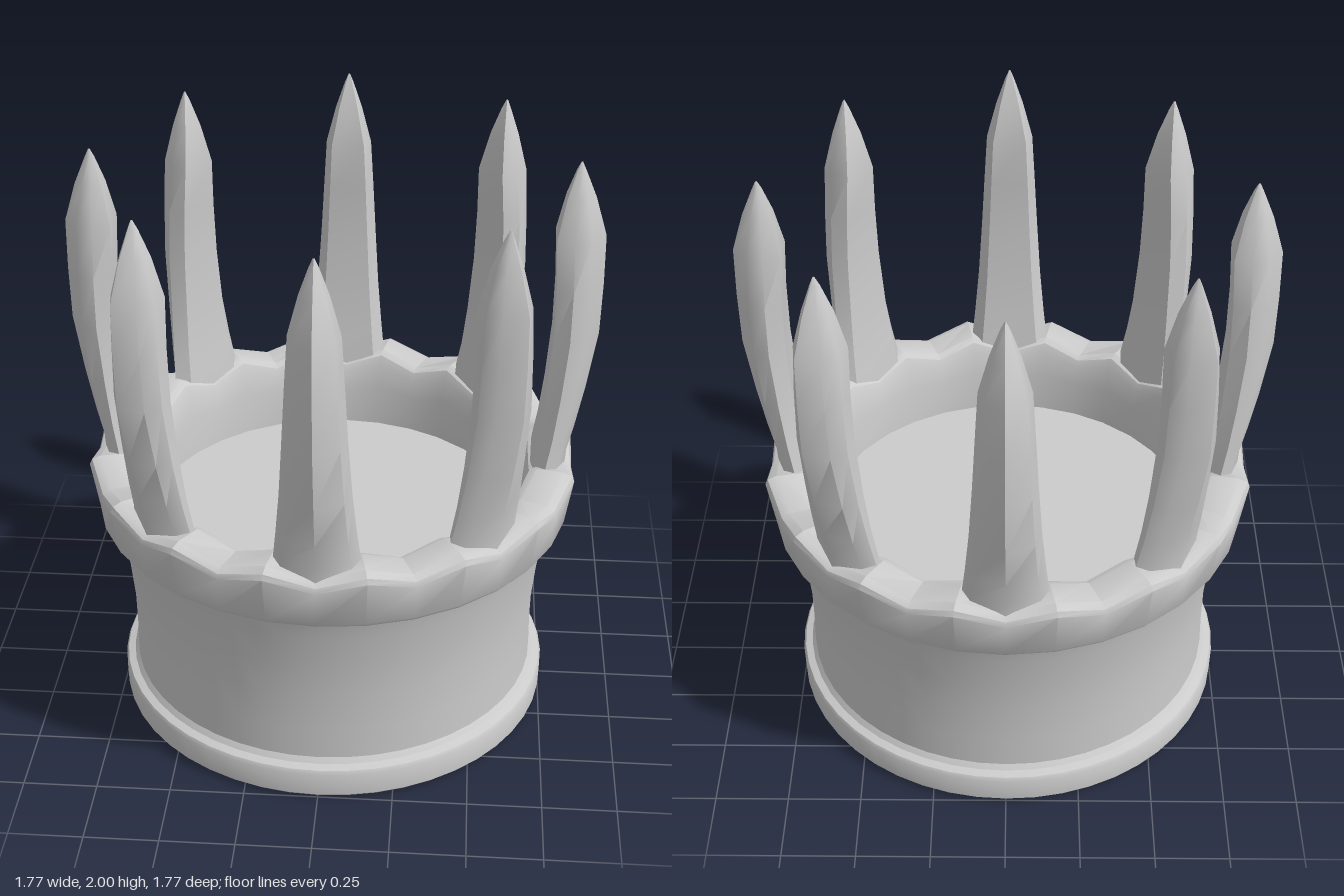
import * as THREE from 'three';
import { toCreasedNormals } from 'three/addons/utils/BufferGeometryUtils.js';

const material = new THREE.MeshStandardMaterial({ color: 0xcccccc });

// Skin a stack of closed rings; each ring is a list of [x, y, z], counter-clockwise seen from above
function skin(name, rings, crease) {
  const n = rings[0].length;
  const index = [];
  for (let i = 0; i < rings.length - 1; i++) {
    for (let j = 0; j < n; j++) {
      const a = i * n + j, b = i * n + (j + 1) % n;
      index.push(a, b, b + n, a, b + n, a + n);
    }
  }
  const geometry = new THREE.BufferGeometry();
  geometry.setAttribute('position', new THREE.Float32BufferAttribute(rings.flat(2), 3));
  geometry.setIndex(index);
  const mesh = new THREE.Mesh(toCreasedNormals(geometry, crease), material);
  mesh.name = name;
  return mesh;
}

// Round body with a stepped foot and a waist flaring to the rim, closed below
function makeBody() {
  const profile = [
    [0, 0], [0.74, 0], [0.755, 0.015], [0.757, 0.1], [0.75, 0.113], [0.725, 0.122],
    [0.712, 0.14], [0.71, 0.25], [0.712, 0.4], [0.724, 0.53], [0.743, 0.65], [0.757, 0.72], [0.765, 0.745],
  ].map(([r, y]) => new THREE.Vector2(r, y));
  const geometry = toCreasedNormals(new THREE.LatheGeometry(profile, 48), 0.6);
  const mesh = new THREE.Mesh(geometry, material);
  mesh.name = 'body';
  return mesh;
}

// Rim whose top edge zigzags: low at the spikes and midway, high in between
function makeRim() {
  // [radius, low height, high height, extra radius at the peaks]
  const section = [
    [0.65, 0.74, 0.74, 0], [0.802, 0.74, 0.74, 0], [0.813, 0.755, 0.755, 0],
    [0.822, 0.875, 0.92, 0.017], [0.815, 0.892, 0.938, 0.015], [0.79, 0.905, 0.95, 0.01],
    [0.695, 0.905, 0.95, 0.015], [0.672, 0.893, 0.938, 0.012], [0.66, 0.865, 0.91, 0.01],
    [0.645, 0.8, 0.82, 0.008], [0.64, 0.66, 0.66, 0],
  ];
  const steps = 32;
  const rings = section.map(([r, low, high, extra]) => Array.from({ length: steps }, (_, j) => {
    const a = j / steps * Math.PI * 2, peak = j % 2;
    const radius = r + extra * peak;
    return [radius * Math.sin(a), peak ? high : low, radius * Math.cos(a)];
  }));
  return skin('rim', rings, 0.6);
}

// Tapered spike that leans outward, then curves back in to its point
function makeSpike() {
  // [height, half width, inner radius, outer radius]
  const levels = [
    [0.86, 0.148, 0.675, 0.795], [0.95, 0.138, 0.685, 0.8], [1.05, 0.127, 0.7, 0.822],
    [1.2, 0.113, 0.715, 0.85], [1.4, 0.1, 0.728, 0.88], [1.58, 0.09, 0.728, 0.883],
    [1.75, 0.08, 0.72, 0.88], [1.88, 0.046, 0.745, 0.84], [1.97, 0.015, 0.772, 0.802], [2, 0.002, 0.784, 0.788],
  ];
  const rings = levels.map(([y, w, inner, outer]) => {
    const d = outer - inner;
    const half = [[0.8 * w, outer - 0.3 * d], [w, inner + 0.35 * d], [0.72 * w, inner]];
    return [
      [0, y, outer],
      ...half.map(([x, z]) => [x, y, z]),
      ...half.reverse().map(([x, z]) => [-x, y, z]),
    ];
  });
  return skin('spike', rings, 0.75);
}

export function createModel() {
  const crown = new THREE.Group();
  crown.name = 'crown';
  crown.add(makeBody(), makeRim());

  // Flat floor inside the rim
  const floor = new THREE.Mesh(new THREE.CircleGeometry(0.66, 32), material);
  floor.name = 'floor';
  floor.rotation.x = -Math.PI / 2;
  floor.position.y = 0.67;
  crown.add(floor);

  // Eight spikes around the rim
  const spike = makeSpike();
  for (let i = 0; i < 8; i++) {
    const copy = spike.clone();
    copy.name = 'spike' + (i + 1);
    copy.rotation.y = i * Math.PI / 4;
    crown.add(copy);
  }
  return crown;
}
